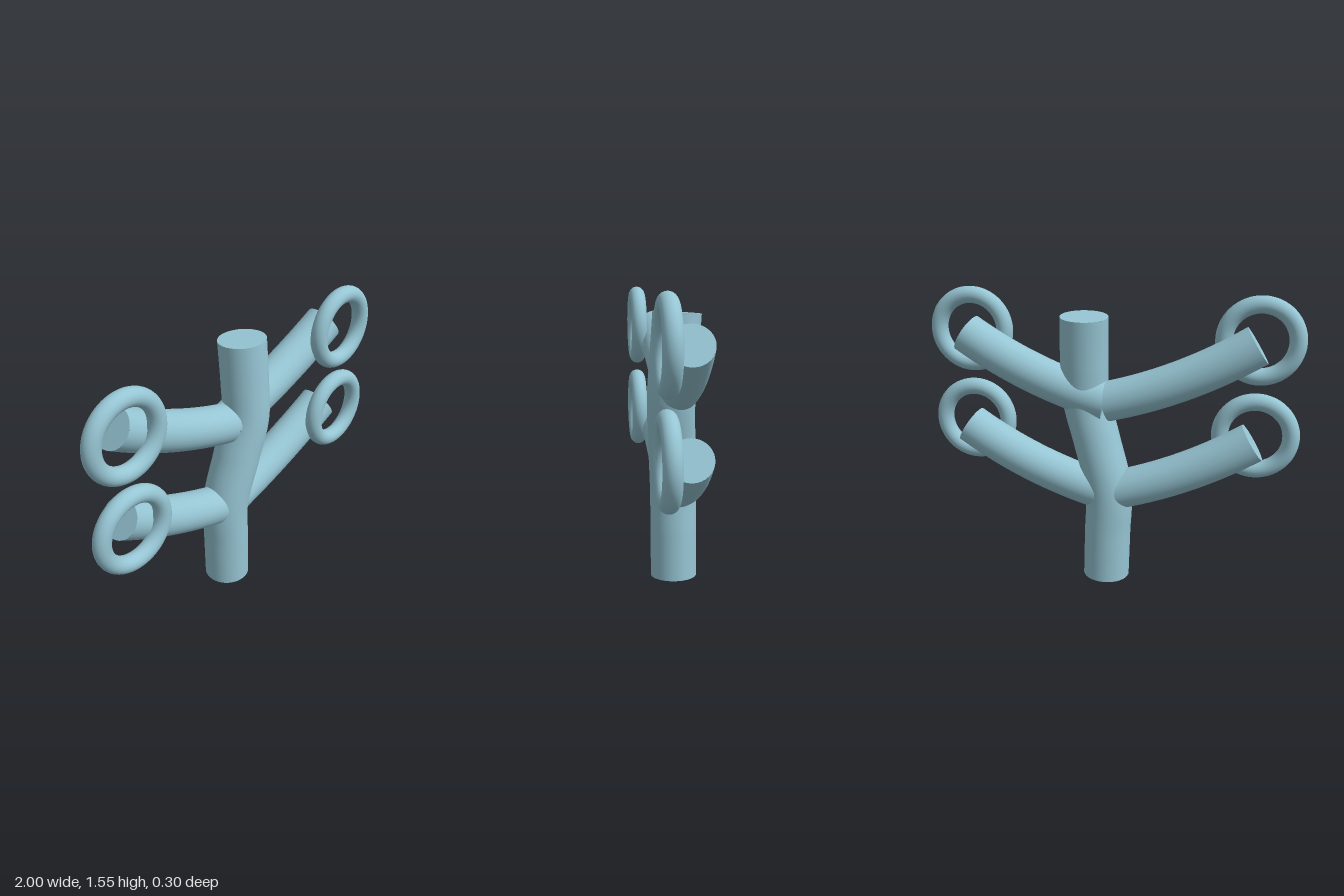
import * as THREE from 'three';

const material = new THREE.MeshStandardMaterial({ color: 0x96c5d3 });

// A round bar swept along a curve, with a flat disc closing each end
function bar(name, curve, radius) {
  const group = new THREE.Group();
  group.name = name;
  const tube = new THREE.Mesh(new THREE.TubeGeometry(curve, 48, radius, 48), material);
  tube.name = name + 'Body';
  group.add(tube);
  for (const t of [0, 1]) {
    const cap = new THREE.Mesh(new THREE.CircleGeometry(radius, 48), material);
    const outward = curve.getTangent(t).multiplyScalar(t ? 1 : -1);
    cap.position.copy(curve.getPoint(t));
    cap.quaternion.setFromUnitVectors(new THREE.Vector3(0, 0, 1), outward);
    cap.name = name + (t ? 'EndCap' : 'StartCap');
    group.add(cap);
  }
  return group;
}

export function createModel() {
  const model = new THREE.Group();
  model.name = 'branchingHolder';

  // Trunk: gently S-shaped
  const trunkPath = new THREE.CatmullRomCurve3([
    [0, 0, -0.02], [-0.007, 0.25, -0.02], [-0.012, 0.5, -0.018], [0.055, 0.77, -0.002],
    [0.115, 1.0, 0.008], [0.12, 1.2, -0.005], [0.115, 1.435, -0.022],
  ].map((p) => new THREE.Vector3(...p)));
  model.add(bar('trunk', trunkPath, 0.125));

  // Two tiers of mirrored arms, each with a ring in front of its tip
  for (const [tier, lift] of [['lower', 0], ['upper', 0.505]]) {
    for (const [side, s] of [['Left', 1], ['Right', -1]]) {
      const armPath = new THREE.QuadraticBezierCurve3(
        new THREE.Vector3(0, 0.49 + lift, -0.025),
        new THREE.Vector3(s * 0.4, 0.59 + lift, -0.03),
        new THREE.Vector3(s * 0.76, 0.815 + lift, 0),
      );
      model.add(bar(tier + side + 'Arm', armPath, 0.105));

      const ring = new THREE.Mesh(new THREE.TorusGeometry(0.185, 0.045, 24, 64), material);
      ring.position.set(s * 0.77, 0.815 + lift, 0.107);
      ring.name = tier + side + 'Ring';
      model.add(ring);
    }
  }
  return model;
}
